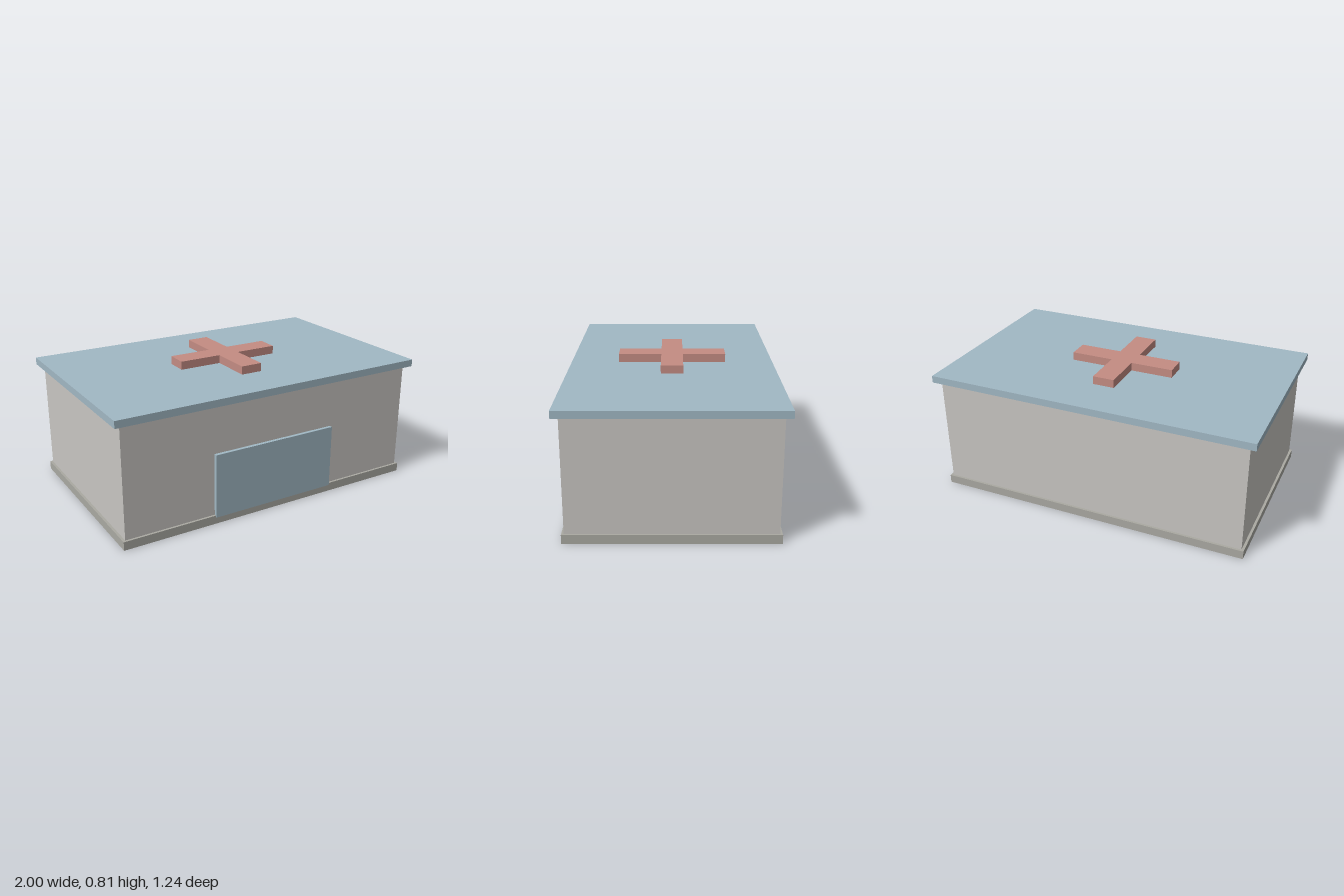
import * as THREE from 'three';

const material = (name, color) => {
  const m = new THREE.MeshStandardMaterial({ color });
  m.name = name;
  return m;
};

export function createModel() {
  const model = new THREE.Group();
  model.name = 'clinicBuilding';

  const wallGrey = material('wallGrey', 0xc8c6c2);
  const baseGrey = material('baseGrey', 0xaaa9a2);
  const paleBlue = material('paleBlue', 0xa1b8c4);
  const mutedRed = material('mutedRed', 0xc48c83);

  // Box centred on x, spanning y0..y1 and z0..z1
  const block = (name, mat, halfWidth, y0, y1, z0, z1) => {
    const geometry = new THREE.BoxGeometry(halfWidth * 2, y1 - y0, z1 - z0);
    const mesh = new THREE.Mesh(geometry, mat);
    mesh.name = name;
    mesh.position.set(0, (y0 + y1) / 2, (z0 + z1) / 2);
    model.add(mesh);
  };

  block('foundation', baseGrey, 0.975, 0, 0.052, -0.597, 0.597);
  block('walls', wallGrey, 0.96, 0.052, 0.722, -0.583, 0.583);
  block('roofSlab', paleBlue, 1, 0.722, 0.765, -0.619, 0.619);
  block('garageDoor', paleBlue, 0.403, 0.042, 0.432, 0.58, 0.604);

  // Raised cross lying on the roof
  const a = 0.066, b = 0.328;
  const outline = [
    [a, a], [a, b], [-a, b], [-a, a], [-b, a], [-b, -a],
    [-a, -a], [-a, -b], [a, -b], [a, -a], [b, -a], [b, a],
  ].map(([x, y]) => new THREE.Vector2(x, y));
  const crossGeometry = new THREE.ExtrudeGeometry(new THREE.Shape(outline), {
    depth: 0.05, bevelEnabled: false,
  });
  crossGeometry.rotateX(-Math.PI / 2);
  const cross = new THREE.Mesh(crossGeometry, mutedRed);
  cross.name = 'roofCross';
  cross.position.y = 0.765;
  model.add(cross);

  return model;
}
